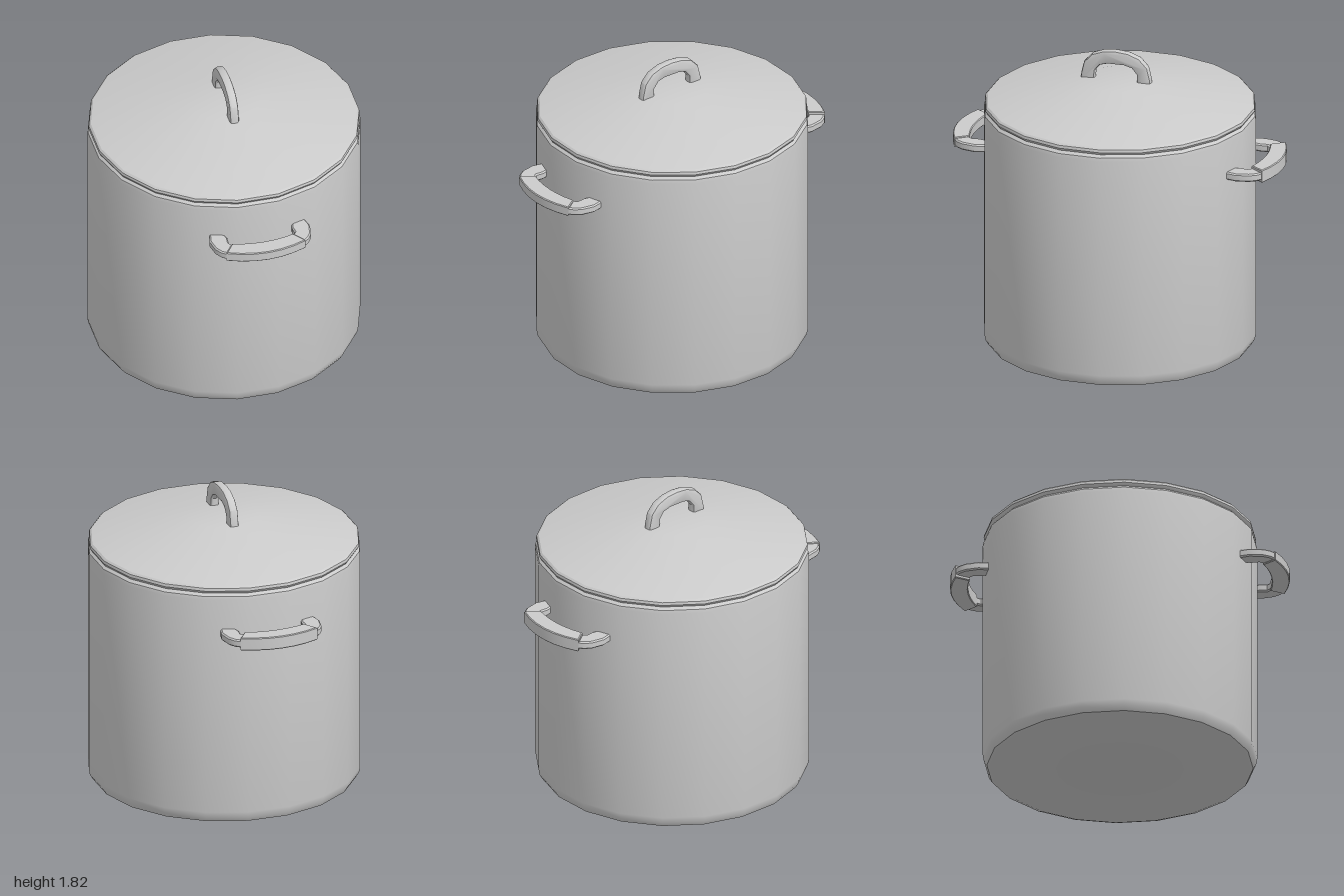
import * as THREE from 'three';
import { toCreasedNormals } from 'three/addons/utils/BufferGeometryUtils.js';

const material = new THREE.MeshStandardMaterial({ color: 0xcccccc });
const SIDES = 20;
const TWIST = -0.148; // handles and lid grip are turned slightly about y

function addMesh(parent, name, geometry, crease = 0.6) {
  const mesh = new THREE.Mesh(toCreasedNormals(geometry, crease), material);
  mesh.name = name;
  parent.add(mesh);
  return mesh;
}

function lathe(profile) {
  return new THREE.LatheGeometry(profile.map(([r, y]) => new THREE.Vector2(r, y)), SIDES);
}

// Slab of a shape, centred on its thickness, with a small bevel kept inside the outline
function slab(shape, thickness, bevel, bevelSegments = 1) {
  const geometry = new THREE.ExtrudeGeometry(shape, {
    depth: thickness - 2 * bevel, bevelEnabled: true, bevelThickness: bevel,
    bevelSize: bevel, bevelOffset: -bevel, bevelSegments, curveSegments: 6,
  });
  return geometry.translate(0, 0, bevel - thickness / 2);
}

// Side handle pointing along +z: a curved bar and two hooked ends
function sideHandle(name, barHeight) {
  const handle = new THREE.Group();
  handle.name = name;

  const bar = new THREE.Shape();
  bar.moveTo(-0.24, 0.945);
  bar.lineTo(-0.185, 0.865);
  bar.quadraticCurveTo(0, 0.922, 0.185, 0.865);
  bar.lineTo(0.24, 0.945);
  bar.quadraticCurveTo(0, 1.055, -0.24, 0.945);
  addMesh(handle, 'handleBar', slab(bar, barHeight, 0.005).rotateX(Math.PI / 2));

  for (const s of [-1, 1]) {
    const outline = [[0.18, 0.868], [0.2, 0.845], [0.195, 0.8], [0.215, 0.72],
      [0.285, 0.72], [0.305, 0.8], [0.29, 0.88], [0.265, 0.92], [0.235, 0.943]];
    const end = new THREE.Shape(outline.map(([x, y]) => new THREE.Vector2(s * x, y)));
    addMesh(handle, s < 0 ? 'handleEndRight' : 'handleEndLeft',
      slab(end, 0.048, 0.008).rotateX(Math.PI / 2));
  }
  handle.position.y = 1.222;
  return handle;
}

export function createModel() {
  const model = new THREE.Group();
  model.name = 'stockPot';

  // Pot body with rounded bottom and top edges
  addMesh(model, 'potBody', lathe([
    [0, 0], [0.745, 0], [0.782, 0.015], [0.8, 0.045], [0.806, 0.08],
    [0.806, 1.43], [0.802, 1.452], [0.785, 1.468], [0, 1.468],
  ]));

  // Lid: rounded rim, shallow cone, flat centre
  addMesh(model, 'lidRim', lathe([
    [0, 1.462], [0.775, 1.462], [0.792, 1.471], [0.8, 1.485], [0.797, 1.502], [0.785, 1.513],
  ]));
  addMesh(model, 'lidCone', lathe([[0.785, 1.513], [0.21, 1.64], [0, 1.64]]), 0.35);

  // Arched grip on the lid
  const arch = new THREE.Shape([
    [-0.215, 1.62], [-0.213, 1.66], [-0.195, 1.735], [-0.145, 1.788], [-0.075, 1.814],
    [0, 1.821], [0.075, 1.814], [0.145, 1.788], [0.195, 1.735], [0.213, 1.66], [0.215, 1.62],
    [0.13, 1.62], [0.128, 1.685], [0.098, 1.722], [0.05, 1.735],
    [-0.05, 1.735], [-0.098, 1.722], [-0.128, 1.685], [-0.13, 1.62],
  ].map(([x, y]) => new THREE.Vector2(x, y)));
  const grip = addMesh(model, 'lidGrip', slab(arch, 0.056, 0.016, 2).rotateY(-Math.PI / 2));
  grip.position.z = 0.02;
  grip.rotation.y = TWIST;

  // Front and back side handles
  const front = sideHandle('frontHandle', 0.06);
  front.rotation.y = TWIST;
  const back = sideHandle('backHandle', 0.08);
  back.rotation.y = TWIST + Math.PI;
  model.add(front, back);

  return model;
}
